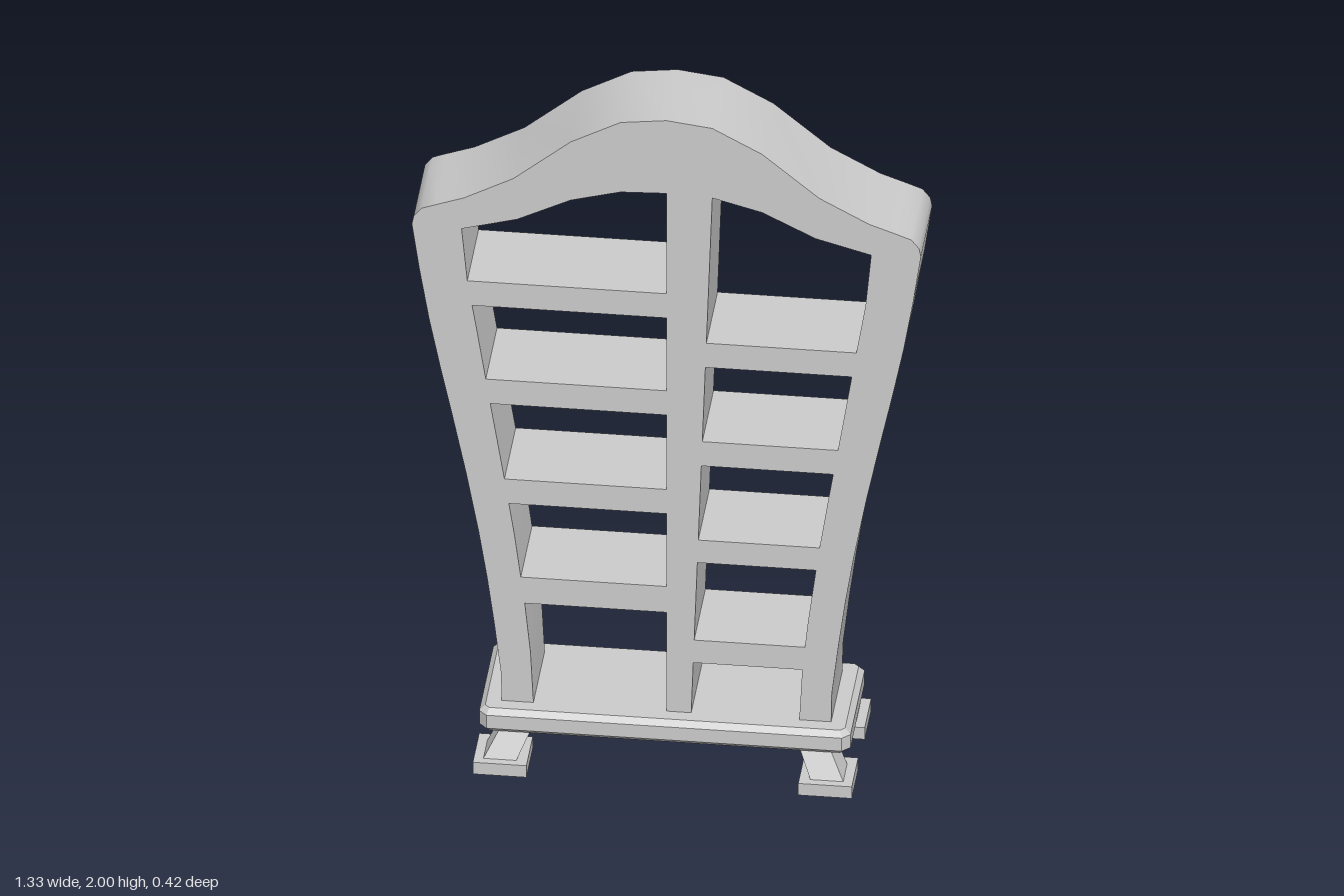
import * as THREE from 'three';
import { toCreasedNormals } from 'three/addons/utils/BufferGeometryUtils.js';

const material = new THREE.MeshStandardMaterial({ color: 0xcccccc });

function addMesh(parent, name, geometry) {
  const mesh = new THREE.Mesh(geometry, material);
  mesh.name = name;
  parent.add(mesh);
  return mesh;
}

const toVectors = (points) => points.map(([x, y]) => new THREE.Vector2(x, y));

// Linear lookup of x at height y along a list of [x, y] points
function xAt(points, y) {
  for (let i = 1; i < points.length; i++) {
    const [x0, y0] = points[i - 1], [x1, y1] = points[i];
    if (y <= y1) return x0 + (x1 - x0) * (y - y0) / (y1 - y0);
  }
  return points[points.length - 1][0];
}

// Half outline of the case, from the foot up to the crown
const outer = [
  [0.43, 0.15], [0.432, 0.26], [0.45, 0.415], [0.468, 0.55], [0.49, 0.69],
  [0.523, 0.87], [0.56, 1.05], [0.592, 1.2], [0.62, 1.34], [0.645, 1.49],
  [0.665, 1.63], [0.66, 1.655], [0.64, 1.68], [0.6, 1.695], [0.53, 1.72],
  [0.40, 1.79], [0.25, 1.915], [0.12, 1.985], [0, 2.0],
];
// Inner face of the side walls
const inner = [
  [0.346, 0.15], [0.355, 0.33], [0.37, 0.48], [0.397, 0.69], [0.423, 0.86],
  [0.46, 1.09], [0.496, 1.32], [0.52, 1.465], [0.535, 1.625],
];
// Underside of the crown, from the side wall toward the middle
const crown = [[0.535, 1.625], [0.39, 1.665], [0.25, 1.735], [0.12, 1.77]];
// Tapered side of the middle divider
const divider = [[0.064, 0.15], [0.12, 1.77]];

// One opening between two shelves; the top one follows the crown
function opening(side, y0, y1) {
  const middle = (y) => (side > 0 ? xAt(divider, y) : 0);
  const points = [[middle(y0), y0], [side * xAt(inner, y0), y0]];
  for (const [x, y] of inner) if (y > y0 + 0.01 && y < (y1 ?? 1.6) - 0.01) points.push([side * x, y]);
  if (y1) points.push([side * xAt(inner, y1), y1], [middle(y1), y1]);
  else {
    for (const [x, y] of crown) points.push([side * x, y]);
    if (side < 0) points.push([0, 1.775]);
  }
  return new THREE.Path(toVectors(points));
}

function bookcaseFrame() {
  const left = outer.slice(0, -1).reverse().map(([x, y]) => [-x, y]);
  const shape = new THREE.Shape(toVectors([...outer, ...left]));
  const leftColumn = [[0.33, 0.16], [0.64, 0.40], [0.94, 0.71], [1.245, 1.015], [null, 1.32]];
  const rightColumn = [[0.48, 0.16], [0.785, 0.56], [1.09, 0.86], [1.39, 1.165], [null, 1.465]];
  for (const [top, bottom] of leftColumn) shape.holes.push(opening(1, bottom, top));
  for (const [top, bottom] of rightColumn) shape.holes.push(opening(-1, bottom, top));
  const geometry = new THREE.ExtrudeGeometry(shape, { depth: 0.246, bevelEnabled: false });
  geometry.translate(0, 0, -0.123);
  return toCreasedNormals(geometry, 0.6);
}

// Plinth slab with chamfered corners and edges
function plinth() {
  const x = 0.47, z = 0.16, c = 0.012;
  const shape = new THREE.Shape(toVectors([
    [x - c, -z], [x, -z + c], [x, z - c], [x - c, z],
    [-x + c, z], [-x, z - c], [-x, -z + c], [-x + c, -z],
  ]));
  const geometry = new THREE.ExtrudeGeometry(shape, {
    depth: 0.04, bevelThickness: 0.015, bevelSize: 0.015, bevelSegments: 1,
  });
  return geometry.rotateX(-Math.PI / 2).translate(0, 0.12, 0);
}

// Splayed leg: a box whose lower end leans outward
function legGeometry(sx, sz) {
  const geometry = new THREE.BoxGeometry(0.08, 0.09, 0.08);
  const p = geometry.attributes.position;
  for (let i = 0; i < p.count; i++) {
    const low = p.getY(i) < 0;
    p.setX(i, p.getX(i) * (low ? 1.08 : 1) + sx * (low ? 0.43 : 0.385));
    p.setZ(i, p.getZ(i) * (low ? 1.08 : 1) + sz * (low ? 0.15 : 0.105));
    p.setY(i, p.getY(i) + 0.075);
  }
  geometry.computeVertexNormals();
  return geometry;
}

// Square rim of the foot pad, open underneath
function padRim() {
  const square = (h) => toVectors([[-h, -h], [h, -h], [h, h], [-h, h]]);
  const shape = new THREE.Shape(square(0.07));
  shape.holes.push(new THREE.Path(square(0.045)));
  const geometry = new THREE.ExtrudeGeometry(shape, { depth: 0.036, bevelEnabled: false });
  return geometry.rotateX(-Math.PI / 2);
}

export function createModel() {
  const model = new THREE.Group();
  model.name = 'bookcase';
  addMesh(model, 'shelfFrame', bookcaseFrame());
  addMesh(model, 'plinth', plinth());

  // Four splayed feet
  for (const sx of [1, -1]) for (const sz of [1, -1]) {
    const foot = new THREE.Group();
    foot.name = (sz > 0 ? 'front' : 'back') + (sx > 0 ? 'Left' : 'Right') + 'Foot';
    model.add(foot);
    addMesh(foot, 'leg', legGeometry(sx, sz));
    addMesh(foot, 'padRim', padRim()).position.set(sx * 0.425, 0, sz * 0.142);
    addMesh(foot, 'padTop', new THREE.BoxGeometry(0.09, 0.016, 0.09))
      .position.set(sx * 0.425, 0.028, sz * 0.142);
  }
  return model;
}
